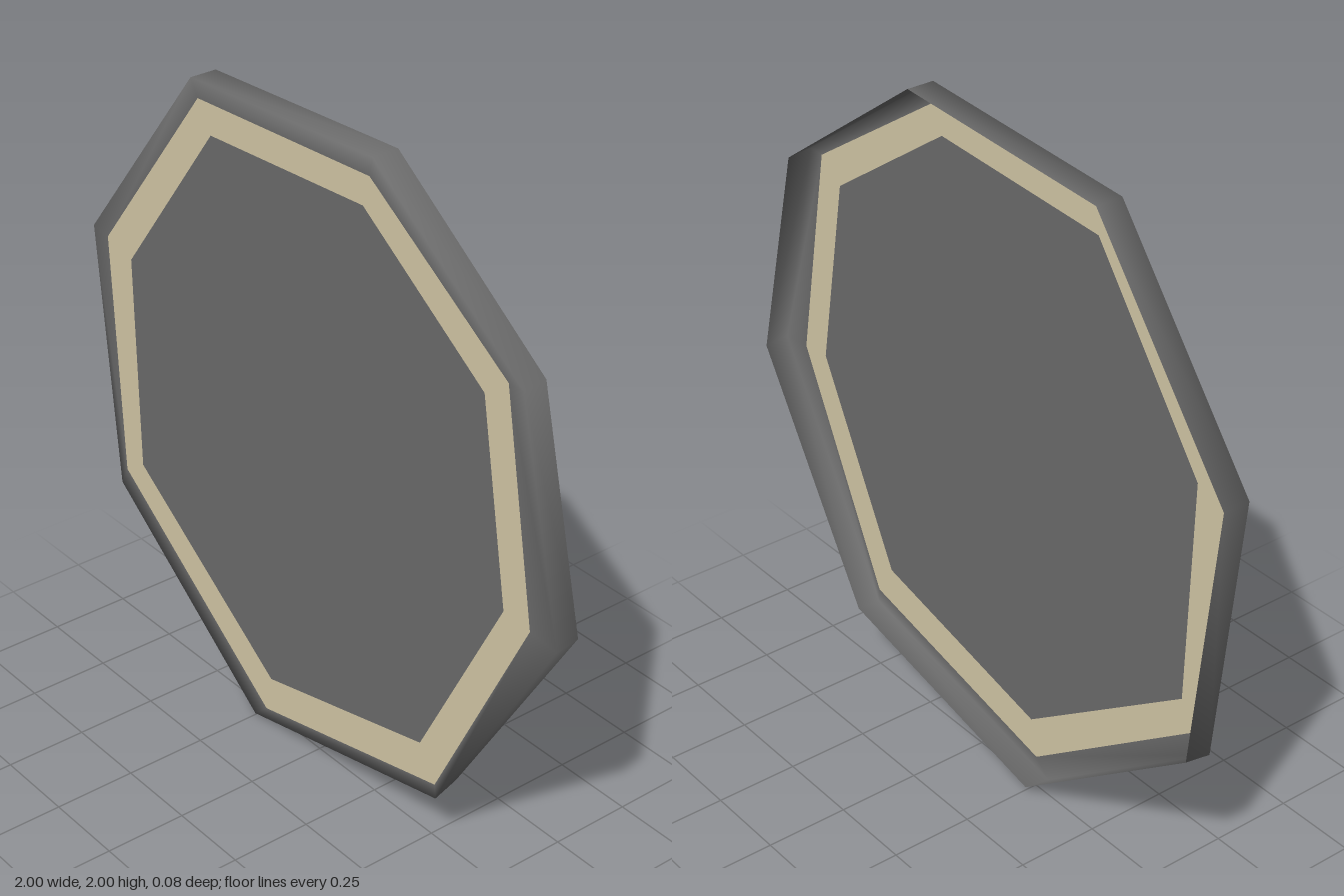
import * as THREE from 'three';

const FRONT = 0.042, BACK = -0.042;

// Irregular octagons, clockwise from the upper left corner
const outer = [[-0.5, 1.96], [0.26, 2], [0.84, 1.59], [1, 0.91], [0.56, 0.18], [-0.255, 0], [-0.91, 0.495], [-1, 1.33]];
const middle = [[-0.47, 1.91], [0.25, 1.945], [0.785, 1.59], [0.9, 0.92], [0.555, 0.225], [-0.2, 0.05], [-0.88, 0.555], [-0.93, 1.32]];
const inner = [[-0.415, 1.82], [0.225, 1.855], [0.7, 1.525], [0.8, 0.93], [0.49, 0.33], [-0.175, 0.17], [-0.795, 0.61], [-0.815, 1.29]];
// Back edge of the wall, drawn in slightly towards the lower right
const rear = outer.map(([x, y]) => [x > 0.5 ? x - 0.012 : x, y < 0.5 ? y + 0.015 : y]);

const material = (color) => new THREE.MeshStandardMaterial({ color, side: THREE.DoubleSide });

// Smooth skin joining rings of [points, z], from the innermost ring outwards
function loft(rings) {
  const n = rings[0][0].length, positions = [], index = [];
  for (const [points, z] of rings) for (const [x, y] of points) positions.push(x, y, z);
  for (let r = 0; r < rings.length - 1; r++) {
    for (let i = 0; i < n; i++) {
      const k = (i + 1) % n, a = r * n, b = a + n;
      index.push(a + i, a + k, b + k, a + i, b + k, b + i);
    }
  }
  const geometry = new THREE.BufferGeometry();
  geometry.setAttribute('position', new THREE.Float32BufferAttribute(positions, 3));
  geometry.setIndex(index);
  geometry.computeVertexNormals();
  return geometry;
}

export function createModel() {
  const group = new THREE.Group();
  group.name = 'octagonalDish';
  const add = (name, geometry, mat) => {
    const mesh = new THREE.Mesh(geometry, mat);
    mesh.name = name;
    group.add(mesh);
    return mesh;
  };
  const dark = material(0x6b6b6b), cream = material(0xd3c7a6);

  // Flat centre
  const shape = new THREE.Shape(inner.map(([x, y]) => new THREE.Vector2(x, y)));
  add('centrePanel', new THREE.ShapeGeometry(shape), dark).position.z = FRONT;

  // Pale border around the centre
  add('border', loft([[inner, FRONT], [middle, FRONT]]), cream);

  // Rim that turns back into the side wall, open behind
  add('rim', loft([[middle, FRONT], [outer, FRONT], [rear, BACK]]), dark);

  return group;
}
